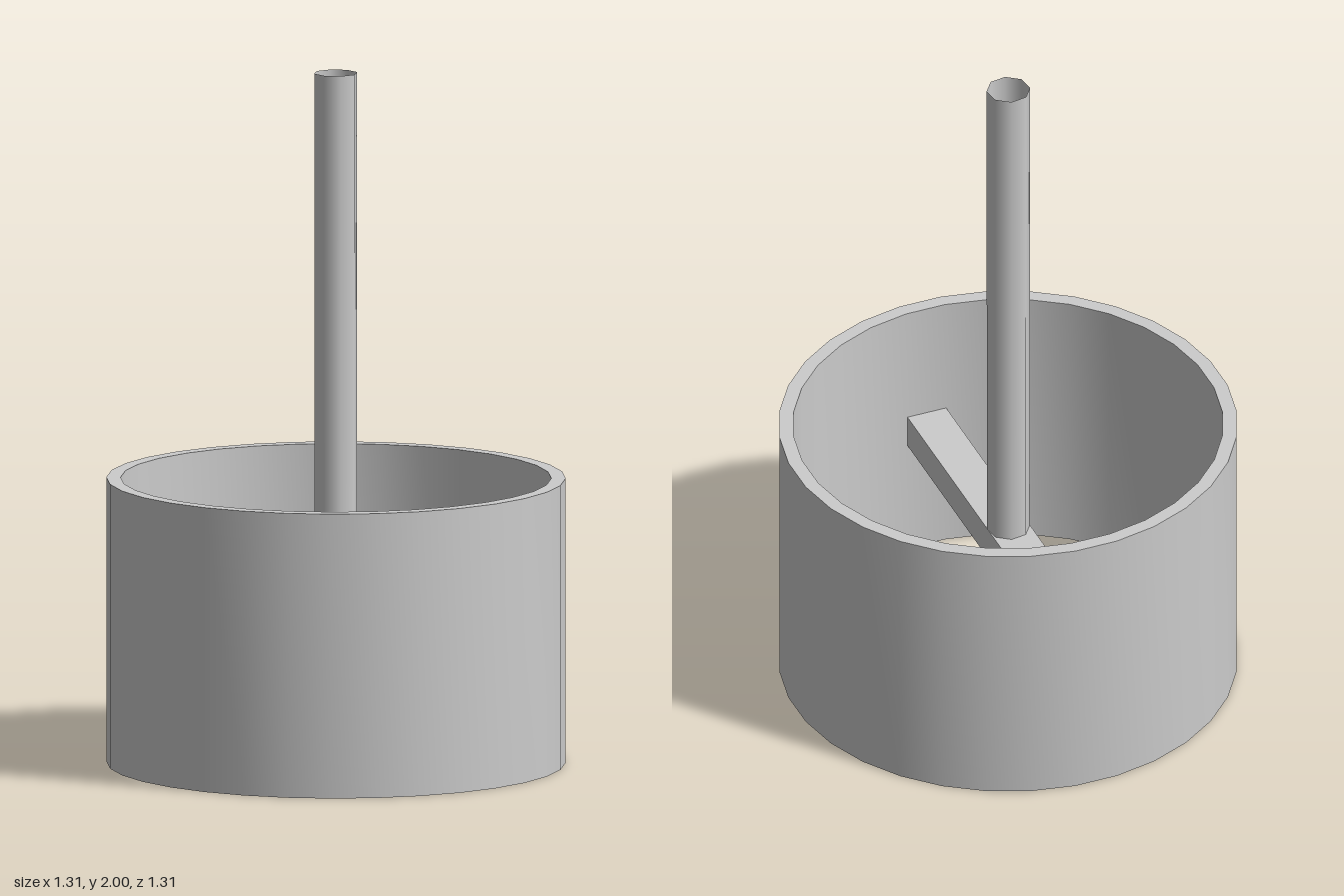
import * as THREE from 'three';
import { toCreasedNormals } from 'three/addons/utils/BufferGeometryUtils.js';

export function createModel() {
  const model = new THREE.Group();
  const grey = new THREE.MeshStandardMaterial({ color: 0xcccccc });
  const greyOpen = new THREE.MeshStandardMaterial({ color: 0xcccccc, side: THREE.DoubleSide });

  const add = (name, geometry, material) => {
    const mesh = new THREE.Mesh(geometry, material);
    mesh.name = name;
    model.add(mesh);
    return mesh;
  };

  // Ring: thick 32-sided wall, open above and below
  const outer = 0.658, inner = 0.617, height = 0.825;
  const profile = [[outer, 0], [outer, height], [inner, height], [inner, 0], [outer, 0]]
    .map(([r, y]) => new THREE.Vector2(r, y));
  const wall = new THREE.LatheGeometry(profile, 32, Math.PI / 32);
  add('ring', toCreasedNormals(wall, Math.PI / 4), grey);

  // Crossbar spanning the ring at mid height, a hair off square
  const bar = add('crossbar', new THREE.BoxGeometry(0.12, 0.1, 1.225), grey);
  bar.position.set(-0.002, 0.412, 0);
  bar.rotation.y = -0.003;

  // Rod: thin eight-sided tube with an open top, standing on the crossbar
  const bottom = 0.46, top = 2;
  const rod = add('rod', new THREE.CylinderGeometry(0.063, 0.062, top - bottom, 8, 1, true), greyOpen);
  rod.position.set(-0.001, (top + bottom) / 2, 0);
  rod.rotation.y = THREE.MathUtils.degToRad(31);

  return model;
}
